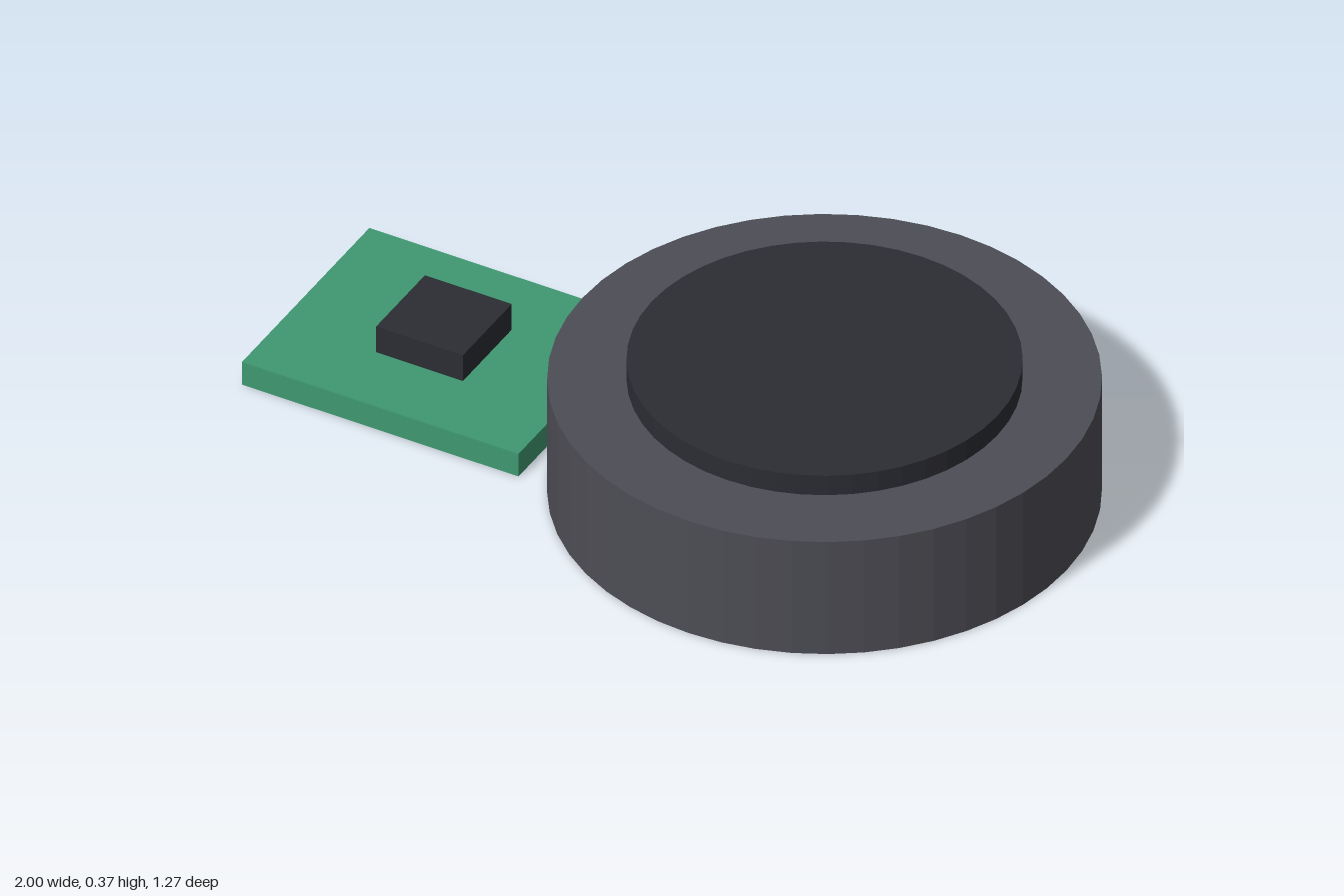
import * as THREE from 'three';

export function createModel() {
  const model = new THREE.Group();
  const material = (color) => {
    const m = new THREE.MeshStandardMaterial({ flatShading: true });
    m.color.set(color);
    return m;
  };
  const green = material(0x3f9870);
  const grey = material(0x4d4d55);
  const dark = material(0x2c2d34);

  // Place a part so that its underside sits at height y
  const add = (name, geometry, mat, x, y, height) => {
    const mesh = new THREE.Mesh(geometry, mat);
    mesh.name = name;
    mesh.position.set(x, y + height / 2, 0);
    model.add(mesh);
  };
  const disc = (name, mat, radius, x, y, height) =>
    add(name, new THREE.CylinderGeometry(radius, radius, height, 48), mat, x, y, height);
  const block = (name, mat, width, depth, x, y, height) =>
    add(name, new THREE.BoxGeometry(width, height, depth), mat, x, y, height);

  // Round housing with a smaller raised disc on top
  disc('housing', grey, 0.636, 0.364, 0, 0.318);
  disc('topDisc', dark, 0.454, 0.364, 0.318, 0.055);

  // Circuit board beside the housing, carrying one chip
  block('circuitBoard', green, 0.727, 0.596, -0.6365, 0, 0.064);
  block('chip', dark, 0.228, 0.228, -0.6365, 0.064, 0.073);

  return model;
}
